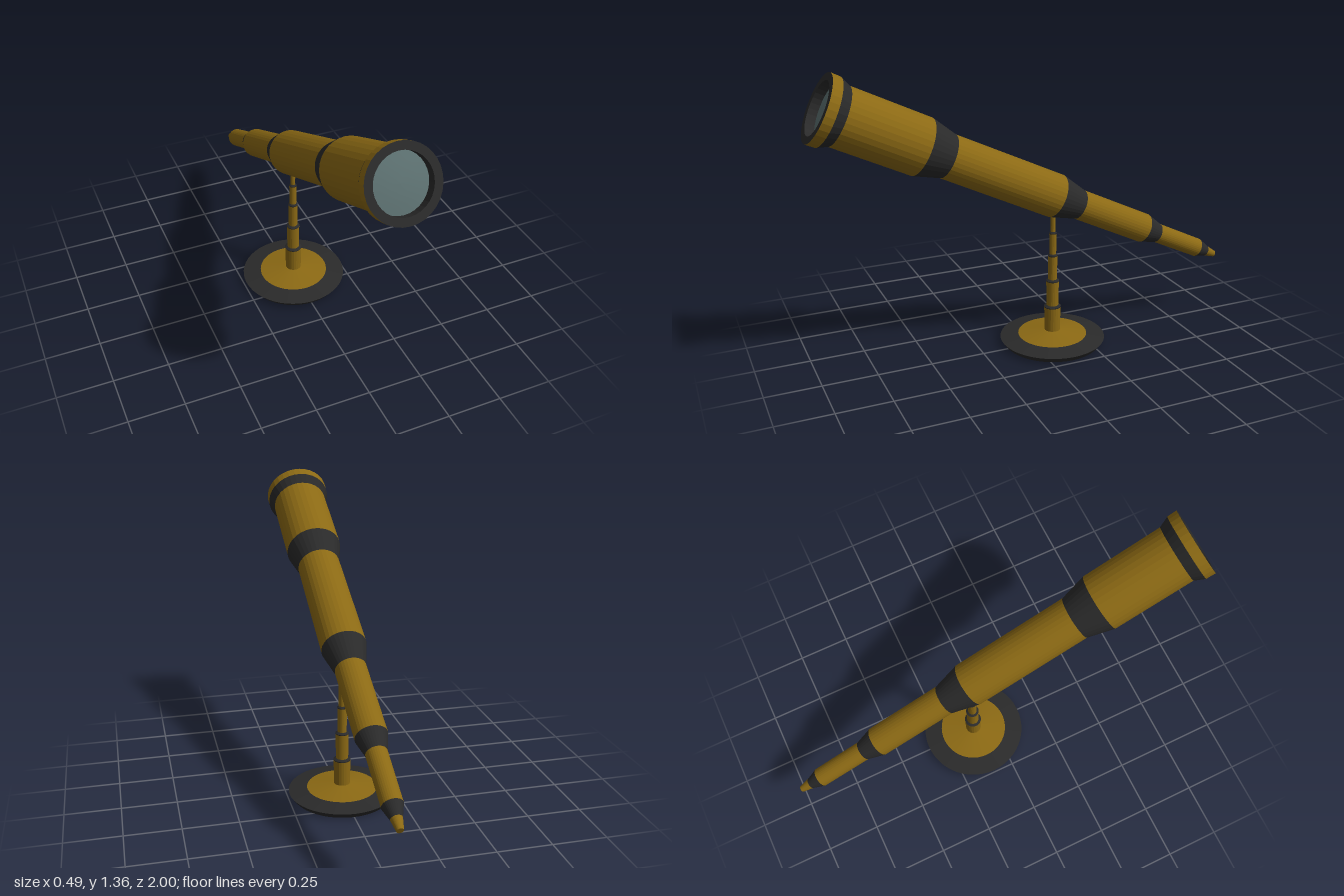
import * as THREE from 'three';

const brass = new THREE.MeshStandardMaterial({ color: 0x8b6914, flatShading: true });
const dark = new THREE.MeshStandardMaterial({ color: 0x2a2a2a, flatShading: true });
const glass = new THREE.MeshStandardMaterial({ color: 0x5c7070 });

// Turned part from [radius, height] points, listed upwards on the outside
function turned(name, material, points, sides = 32) {
  const profile = points.map(([r, y]) => new THREE.Vector2(r, y));
  const mesh = new THREE.Mesh(new THREE.LatheGeometry(profile, sides), material);
  mesh.name = name;
  return mesh;
}

function createStand() {
  const stand = new THREE.Group();
  stand.name = 'stand';
  stand.position.set(0, 0, -0.1);

  // Round foot with a shallow brass dome
  stand.add(turned('footRim', dark, [[0, 0], [0.226, 0], [0.247, 0.027], [0.162, 0.042]], 48));
  stand.add(turned('footDome', brass, [[0.162, 0.042], [0.04, 0.06], [0, 0.061]], 48));

  // Stepped pole: [radius, top]; a dark collar tapers to the next section
  const sections = [[0.039, 0.18], [0.03, 0.31], [0.022, 0.436], [0.017, 0.546], [0.012, 0.68]];
  let bottom = 0.055;
  sections.forEach(([r, top], i) => {
    stand.add(turned('poleSection', brass, [[r * 0.94, bottom], [r, top]], 20));
    if (i < sections.length - 1) {
      const next = sections[i + 1][0];
      stand.add(turned('poleCollar', dark,
        [[r, top - 0.004], [r + 0.001, top], [next * 0.94, top + 0.007]], 20));
    }
    bottom = top;
  });
  return stand;
}

function createTelescope() {
  const scope = new THREE.Group();
  scope.name = 'telescope';
  const tip = new THREE.Vector3(0.001, 0.302, -0.99);
  const front = new THREE.Vector3(-0.012, 1.222, 0.933);
  const axis = front.clone().sub(tip);
  const length = axis.length();

  // Sections from eyepiece to objective: [name, material, r0, s0, r1, s1], s = distance from the front
  const sections = [
    ['eyepiece', brass, 0.015, length, 0.025, 2.077],
    ['eyepieceCollar', dark, 0.025, 2.077, 0.045, 2.016],
    ['smallTube', brass, 0.045, 2.016, 0.046, 1.76],
    ['smallCollar', dark, 0.046, 1.76, 0.07, 1.674],
    ['mediumTube', brass, 0.07, 1.674, 0.07, 1.292],
    ['mediumCollar', dark, 0.07, 1.292, 0.102, 1.16],
    ['largeTube', brass, 0.102, 1.16, 0.1, 0.595],
    ['largeCollar', dark, 0.1, 0.595, 0.131, 0.47],
    ['mainTube', brass, 0.131, 0.47, 0.131, 0.092],
    ['rimCollar', dark, 0.131, 0.092, 0.152, 0.045],
    ['rim', brass, 0.152, 0.045, 0.153, 0],
  ];
  for (const [name, material, r0, s0, r1, s1] of sections) {
    scope.add(turned(name, material, [[r0, length - s0], [r1, length - s1]]));
  }
  scope.add(turned('eyepieceEnd', brass, [[0, 0], [0.015, 0]]));

  // Dark front ring with a recessed, slightly domed lens
  scope.add(turned('frontRing', dark, [[0.153, length], [0.119, length], [0.119, length - 0.045]]));
  scope.add(turned('lens', glass,
    [[0.119, length - 0.042], [0.08, length - 0.036], [0.04, length - 0.032], [0, length - 0.031]]));

  scope.position.copy(tip);
  scope.quaternion.setFromUnitVectors(new THREE.Vector3(0, 1, 0), axis.normalize());
  return scope;
}

export function createModel() {
  const model = new THREE.Group();
  model.name = 'telescopeOnStand';
  model.add(createStand(), createTelescope());
  return model;
}
